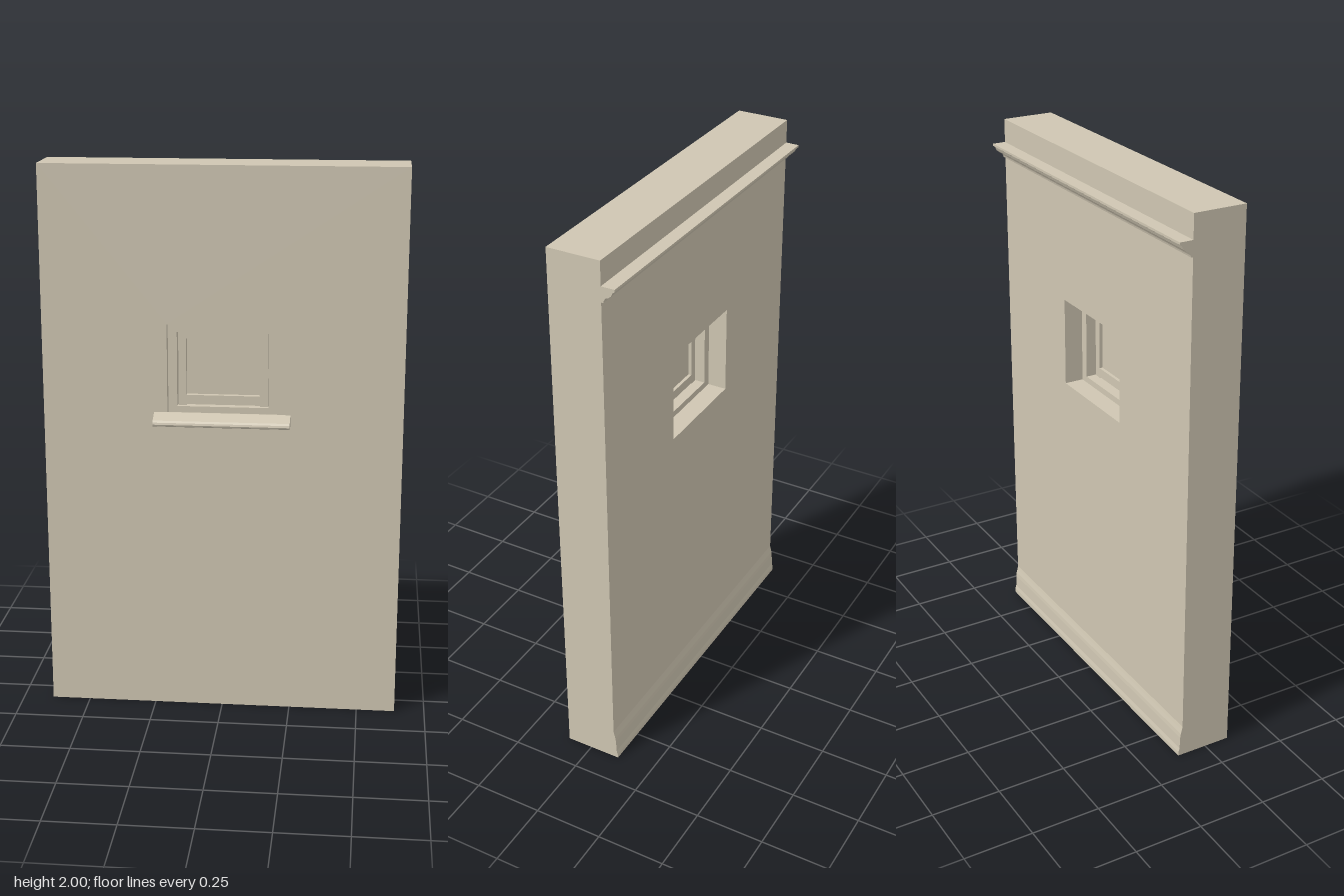
import * as THREE from 'three';

const stone = new THREE.MeshStandardMaterial({ color: 0xcfc6b2 });
stone.name = 'warm stone';

const WIDTH = 1.28, BACK = -0.097, FRONT = 0.0945;
const OPENING = { x: 0.195, bottom: 1.12, top: 1.445 };

function add(parent, name, geometry) {
  const mesh = new THREE.Mesh(geometry, stone);
  mesh.name = name;
  parent.add(mesh);
  return mesh;
}

// Rectangle outline, used for shapes and for their holes
function rect(Type, x, bottom, top) {
  const path = new Type();
  path.moveTo(-x, bottom);
  path.lineTo(x, bottom);
  path.lineTo(x, top);
  path.lineTo(-x, top);
  path.closePath();
  return path;
}

// Rectangular ring of the given depth, running from z = back to z = front
function ring(outer, inner, back, front) {
  const shape = rect(THREE.Shape, outer.x, outer.bottom, outer.top);
  shape.holes.push(rect(THREE.Path, inner.x, inner.bottom, inner.top));
  const geometry = new THREE.ExtrudeGeometry(shape, { depth: front - back, bevelEnabled: false });
  return geometry.translate(0, 0, back);
}

// Moulding: a [z, y] profile swept along x and centred
function moulding(points, width) {
  const shape = new THREE.Shape(points.map(([z, y]) => new THREE.Vector2(-z, y)));
  const geometry = new THREE.ExtrudeGeometry(shape, { depth: width, bevelEnabled: false });
  return geometry.translate(0, 0, -width / 2).rotateY(Math.PI / 2);
}

function box(x0, x1, y0, y1, z0, z1) {
  return new THREE.BoxGeometry(x1 - x0, y1 - y0, z1 - z0)
    .translate((x0 + x1) / 2, (y0 + y1) / 2, (z0 + z1) / 2);
}

export function createModel() {
  const model = new THREE.Group();
  model.name = 'wallWithWindow';

  add(model, 'wall', ring({ x: WIDTH / 2, bottom: 0, top: 2 }, OPENING, BACK, FRONT));

  // Crown moulding and skirting along the back
  add(model, 'crownMoulding', moulding([
    [BACK, 1.86], [BACK, 1.915], [-0.1455, 1.915], [-0.1455, 1.907], [-0.138, 1.902],
    [-0.132, 1.889], [-0.122, 1.881], [-0.112, 1.877], [-0.106, 1.867], [-0.104, 1.86],
  ], WIDTH));
  add(model, 'skirting', moulding([
    [BACK, 0], [BACK, 0.118], [-0.1, 0.105], [-0.104, 0.09], [-0.106, 0.075],
    [-0.108, 0.03], [-0.112, 0.015], [-0.113, 0],
  ], WIDTH));

  // Sloping sill with a rounded nose, tucked into the opening
  add(model, 'windowSill', moulding([
    [FRONT, 1.085], [0.136, 1.085], [0.143, 1.088], [0.1455, 1.094],
    [0.1435, 1.101], [0.137, 1.107], [FRONT, 1.127],
  ], 0.485));

  const windowGroup = new THREE.Group();
  windowGroup.name = 'window';
  model.add(windowGroup);

  // Fixed frame with a narrow bottom member
  const sash = { x: 0.163, bottom: 1.143, top: 1.412 };
  add(windowGroup, 'frame', ring(OPENING, sash, -0.027, 0.065));

  // Sash: full-height stiles with rails between them
  for (const side of [-1, 1]) {
    const [a, b] = side < 0 ? [-0.16, -0.132] : [0.132, 0.16];
    add(windowGroup, side < 0 ? 'rightStile' : 'leftStile',
      box(a, b, sash.bottom, sash.top, 0.01, 0.05));
  }
  add(windowGroup, 'topRail', box(-0.132, 0.132, 1.385, 1.409, 0.01, 0.047));
  add(windowGroup, 'bottomRail', box(-0.132, 0.132, 1.146, 1.18, 0.01, 0.047));
  add(windowGroup, 'pane', box(-0.162, 0.162, sash.bottom, sash.top, 0.022, 0.028));

  return model;
}
